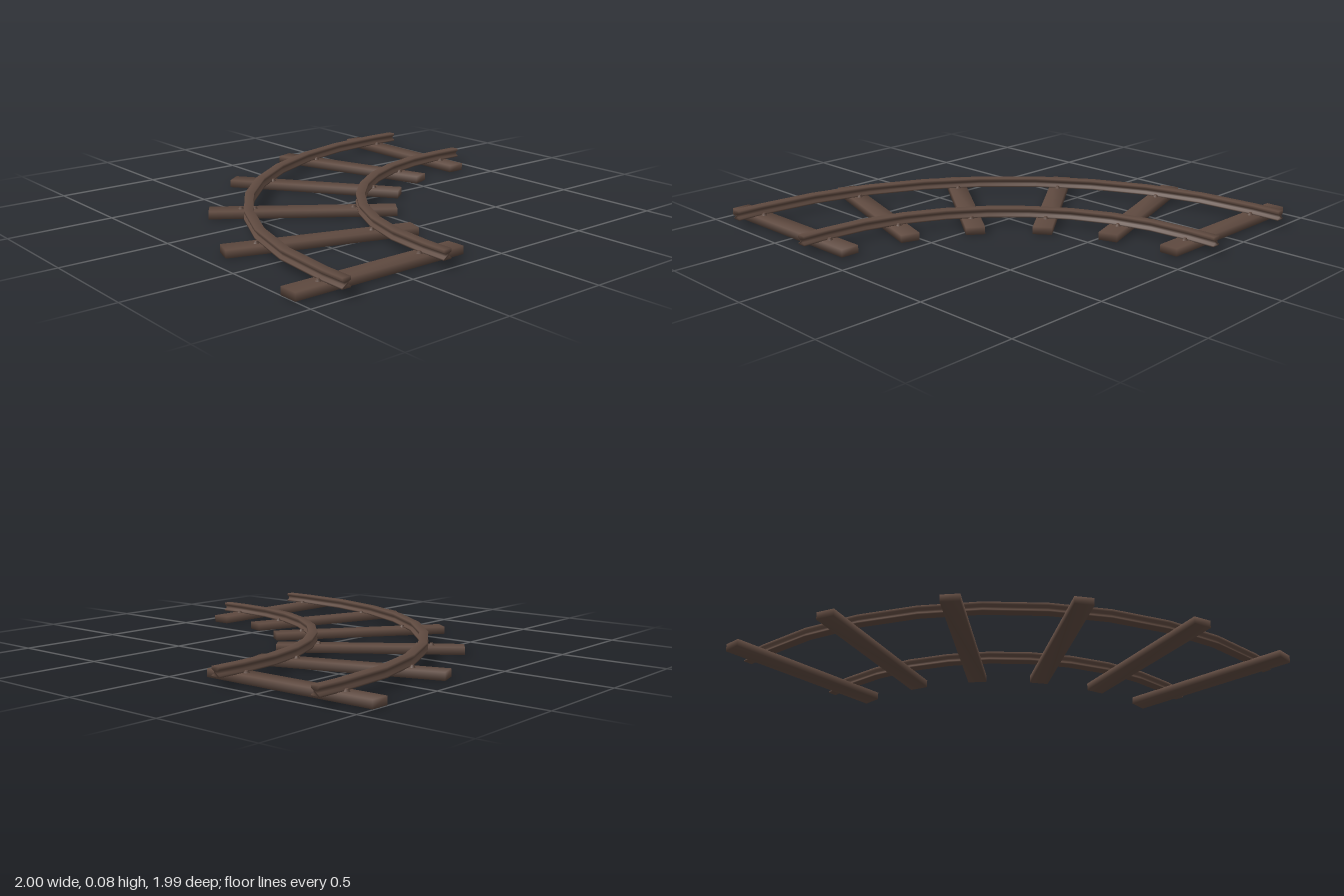
import * as THREE from 'three';
import { mergeVertices } from 'three/addons/utils/BufferGeometryUtils.js';

const CX = 0.857, CZ = 0.86; // centre of the bend
const wood = new THREE.MeshStandardMaterial({ color: 0x5f4a40 });
wood.name = 'dark brown';

// Share corner vertices so the shading runs softly over the edges
function soften(geometry) {
  geometry.deleteAttribute('normal');
  geometry.deleteAttribute('uv');
  const merged = mergeVertices(geometry);
  merged.computeVertexNormals();
  return merged;
}

// Half of the rail section (offset, height), from foot to head
const half = [[0.022, 0.035], [0.022, 0.042], [0.009, 0.049], [0.009, 0.06], [0.021, 0.067], [0.021, 0.08]];
const section = [...half, ...half.slice().reverse().map(([u, v]) => [-u, v])];

// Sweep the section round a quarter bend with short straight ends
function railGeometry(radiusAt) {
  const stations = [];
  for (let i = 0; i <= 9; i++) {
    const a = (i / 9) * Math.PI / 2, r = radiusAt(i / 9);
    stations.push({ x: CX - r * Math.cos(a), z: CZ - r * Math.sin(a), ox: -Math.cos(a), oz: -Math.sin(a) });
  }
  stations.unshift({ ...stations[0], z: 0.99 });
  stations.push({ ...stations[stations.length - 1], x: 1 });

  const positions = [], index = [], n = section.length;
  for (const s of stations) {
    for (const [u, v] of section) positions.push(s.x + s.ox * u, v, s.z + s.oz * u);
  }
  for (let i = 0; i < stations.length - 1; i++) {
    for (let j = 0; j < n; j++) {
      const a = i * n + j, b = i * n + (j + 1) % n;
      index.push(a, b, b + n, a, b + n, a + n);
    }
  }
  // End caps
  const last = (stations.length - 1) * n;
  const caps = THREE.ShapeUtils.triangulateShape(section.map(([u, v]) => new THREE.Vector2(u, v)), []);
  for (const [a, b, c] of caps) index.push(c, b, a, last + a, last + b, last + c);

  const geometry = new THREE.BufferGeometry();
  geometry.setAttribute('position', new THREE.Float32BufferAttribute(positions, 3));
  geometry.setIndex(index);
  geometry.computeVertexNormals();
  return geometry;
}

export function createModel() {
  const track = new THREE.Group();
  track.name = 'curvedTrack';
  const add = (parent, geometry, name, x = 0, y = 0, z = 0) => {
    const mesh = new THREE.Mesh(geometry, wood);
    mesh.name = name;
    mesh.position.set(x, y, z);
    parent.add(mesh);
  };

  const outer = t => 1.682 - 0.017 * t;
  const inner = t => 1.162 - 0.024 * t;
  add(track, railGeometry(outer), 'outerRail');
  add(track, railGeometry(inner), 'innerRail');

  // Six sleepers fanned round the bend, each with spikes beside both rails
  const sleeper = soften(new THREE.BoxGeometry(0.87, 0.036, 0.09));
  const spikeFoot = new THREE.CylinderGeometry(0.01, 0.014, 0.006, 8);
  const spikeHead = new THREE.CylinderGeometry(0.007, 0.01, 0.006, 8);
  for (let i = 0; i < 6; i++) {
    const t = i / 5;
    const tie = new THREE.Group();
    tie.name = 'sleeper' + (i + 1);
    tie.position.set(CX, 0, CZ);
    tie.rotation.y = -t * Math.PI / 2;
    add(tie, sleeper, 'sleeperBeam', -1.42, 0.018, 0);
    for (const r of [outer(t), inner(t)]) {
      for (const side of [-1, 1]) {
        add(tie, spikeFoot, 'spikeFoot', -r + side * 0.032, 0.038, 0);
        add(tie, spikeHead, 'spikeHead', -r + side * 0.032, 0.044, 0);
      }
    }
    track.add(tie);
  }
  return track;
}
